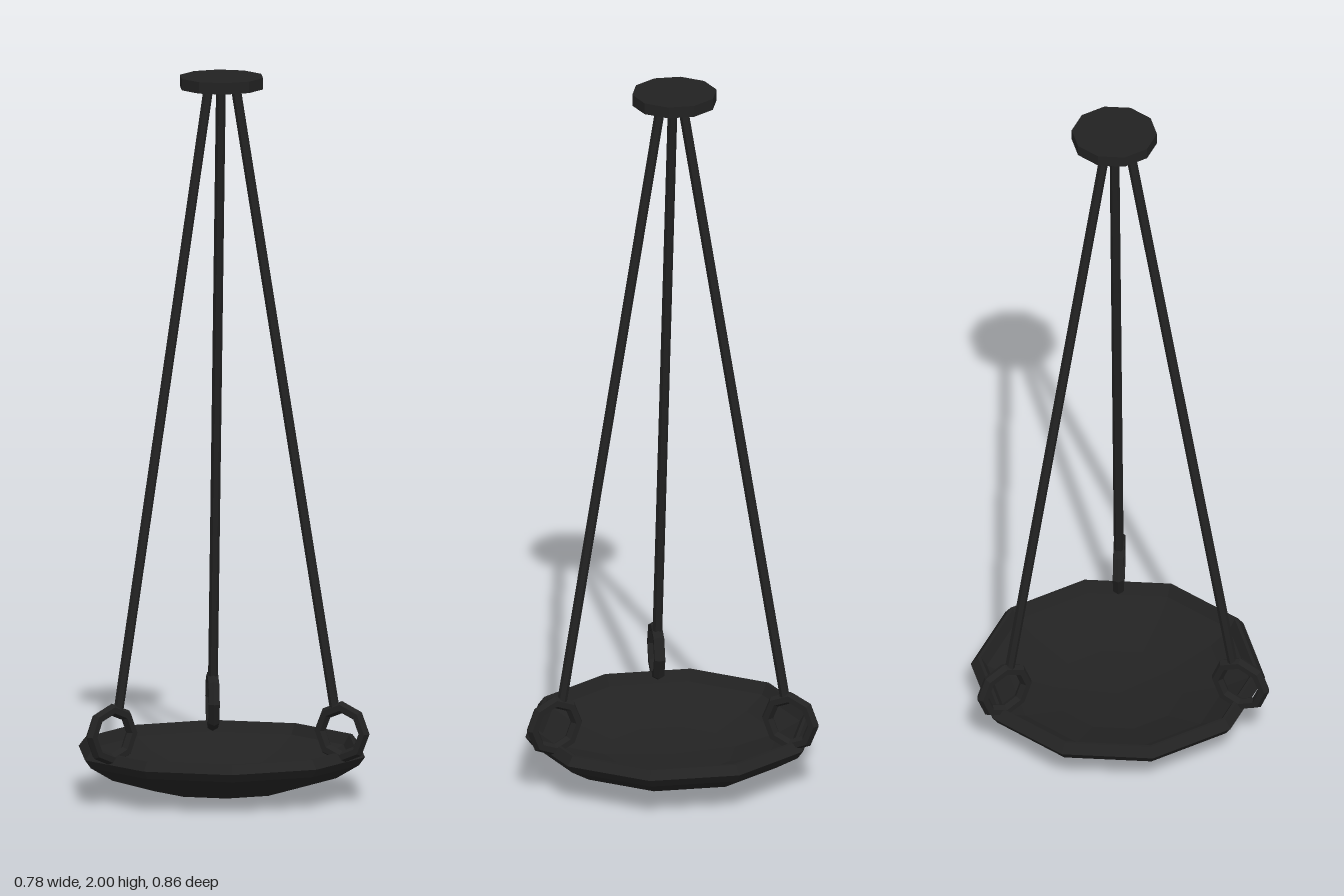
import * as THREE from 'three';

const metal = new THREE.MeshStandardMaterial({ color: 0x222222, flatShading: true });

function part(name, geometry, x = 0, y = 0, z = 0) {
  const mesh = new THREE.Mesh(geometry, metal);
  mesh.name = name;
  mesh.position.set(x, y, z);
  return mesh;
}

// One suspension arm: a six-sided rod and an eight-sided ring, reaching out along local +z
function arm(name, yaw, topR, bottomR, ringR) {
  const group = new THREE.Group();
  group.name = name;
  const top = new THREE.Vector3(0, 1.98, topR);
  const bottom = new THREE.Vector3(0, 0.265, bottomR);
  const rod = part('rod', new THREE.CylinderGeometry(0.0135, 0.0135, top.distanceTo(bottom), 6).rotateY(Math.PI / 6));
  rod.position.copy(top).add(bottom).multiplyScalar(0.5);
  rod.quaternion.setFromUnitVectors(new THREE.Vector3(0, 1, 0), top.clone().sub(bottom).normalize());
  const ring = part('ring', new THREE.TorusGeometry(0.07, 0.017, 6, 8).rotateY(Math.PI / 2), 0, 0.198, ringR);
  group.add(rod, ring);
  group.position.z = 0.01;
  group.rotation.y = yaw;
  return group;
}

export function createModel() {
  const model = new THREE.Group();
  model.name = 'hangingPan';

  // Ceiling plate
  model.add(part('ceilingPlate', new THREE.CylinderGeometry(0.118, 0.118, 0.032, 10), 0, 1.984, 0.0125));

  // Shallow ten-sided pan: outer shell, bevelled rim, then the hollow inside
  const profile = [
    [0, 0], [0.2, 0.016], [0.325, 0.053], [0.39, 0.092], [0.407, 0.115],
    [0.388, 0.14], [0.379, 0.14], [0.362, 0.112], [0.3, 0.08], [0.18, 0.048], [0, 0.036],
  ].map(([r, y]) => new THREE.Vector2(r, y));
  model.add(part('pan', new THREE.LatheGeometry(profile, 10), 0, 0, 0.024));

  // Three arms: one at the back, two mirrored at the front
  model.add(arm('backArm', Math.PI, 0.02, 0.337, 0.354));
  const yaw = THREE.MathUtils.degToRad(56);
  model.add(arm('leftArm', yaw, 0.044, 0.36, 0.384));
  model.add(arm('rightArm', -yaw, 0.044, 0.36, 0.384));

  return model;
}
